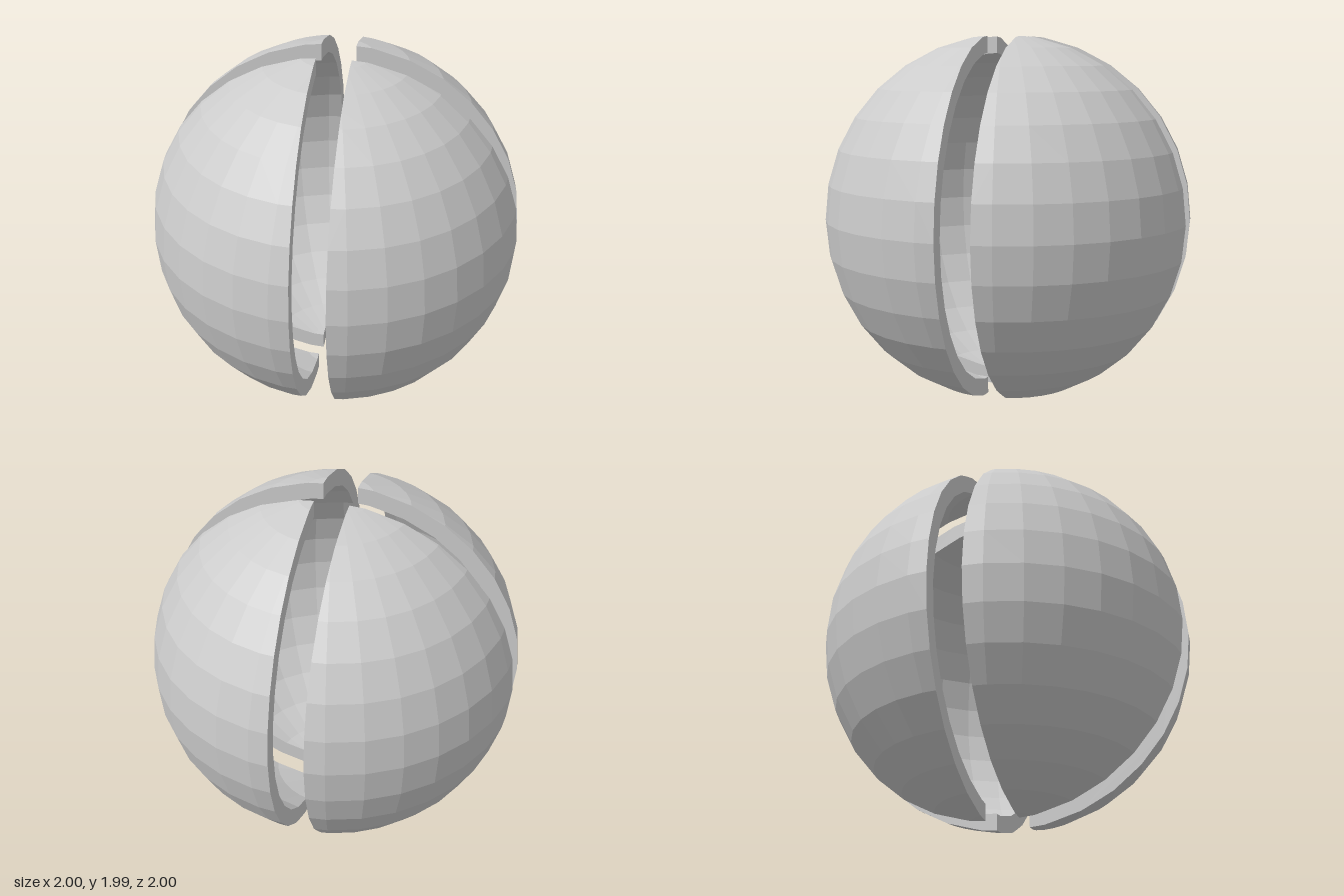
import * as THREE from 'three';
import { mergeGeometries } from 'three/addons/utils/BufferGeometryUtils.js';

const OUTER = 1.0091;  // outer radius
const INNER = 0.9174;  // inner radius
const GAP = 0.0917;    // half width of the slots
const STEP = Math.PI / 16;

// Keep the part of a convex polygon where axis >= GAP
function clip(poly, axis) {
  const out = [];
  poly.forEach((a, i) => {
    const b = poly[(i + 1) % poly.length];
    const da = a[axis] - GAP, db = b[axis] - GAP;
    if (da >= 0) out.push(a);
    if (da * db < 0) out.push(a.clone().lerp(b, da / (da - db)));
  });
  return out;
}

// Facets of one quarter of a sphere, trimmed back to both slot planes
function quarterFacets(radius) {
  const at = (ring, seg) => new THREE.Vector3().setFromSphericalCoords(radius, ring * STEP, seg * STEP);
  const facets = [];
  for (let r = 0; r < 16; r++) {
    for (let s = 0; s < 8; s++) {
      const quad = [at(r, s), at(r + 1, s), at(r + 1, s + 1), at(r, s + 1)];
      if (r === 0) quad.pop();
      if (r === 15) quad.splice(1, 1);
      const poly = clip(clip(quad, 'x'), 'z');
      if (poly.length > 2) facets.push(poly);
    }
  }
  return facets;
}

// Fan each facet into flat triangles
function skin(facets, inward) {
  const pts = [];
  for (const p of facets) {
    for (let i = 1; i < p.length - 1; i++) {
      pts.push(...(inward ? [p[0], p[i + 1], p[i]] : [p[0], p[i], p[i + 1]]));
    }
  }
  const geo = new THREE.BufferGeometry().setFromPoints(pts);
  geo.computeVertexNormals();
  return geo;
}

// Outline where a skin meets the slot plane x = GAP, from bottom to top
function cutLine(facets) {
  const pts = facets.flat()
    .filter(p => Math.abs(p.x - GAP) < 1e-6)
    .map(p => new THREE.Vector2(p.z, p.y))
    .sort((a, b) => Math.atan2(a.y, a.x) - Math.atan2(b.y, b.x));
  return pts.filter((p, i) => i === 0 || p.distanceTo(pts[i - 1]) > 1e-5);
}

// Flat crescent wall along a slot, drawn in the xy plane
function wall(outer, inner, flip) {
  const outline = [...outer, ...inner.slice().reverse()].map(p => new THREE.Vector2(flip * p.x, p.y));
  const geo = new THREE.ShapeGeometry(new THREE.Shape(outline)).toNonIndexed();
  geo.deleteAttribute('uv');
  return geo;
}

export function createModel() {
  const model = new THREE.Group();
  model.name = 'slottedSphere';
  const material = new THREE.MeshStandardMaterial({
    color: 0xcccccc, flatShading: true, side: THREE.DoubleSide,
  });

  const outerFacets = quarterFacets(OUTER);
  const innerFacets = quarterFacets(INNER);
  const outerLine = cutLine(outerFacets);
  const innerLine = cutLine(innerFacets);

  // One closed shell quarter: two skins and two slot walls
  const quarter = mergeGeometries([
    skin(outerFacets, false),
    skin(innerFacets, true),
    wall(outerLine, innerLine, 1).rotateY(-Math.PI / 2).translate(GAP, 0, 0),
    wall(outerLine, innerLine, -1).rotateY(Math.PI).translate(0, 0, GAP),
  ]);
  quarter.computeBoundingBox();
  const lift = -quarter.boundingBox.min.y;

  // Four quarters around the vertical axis
  ['frontLeft', 'backLeft', 'backRight', 'frontRight'].forEach((side, i) => {
    const mesh = new THREE.Mesh(quarter, material);
    mesh.name = side + 'ShellQuarter';
    mesh.rotation.y = i * Math.PI / 2;
    mesh.position.y = lift;
    model.add(mesh);
  });
  return model;
}
